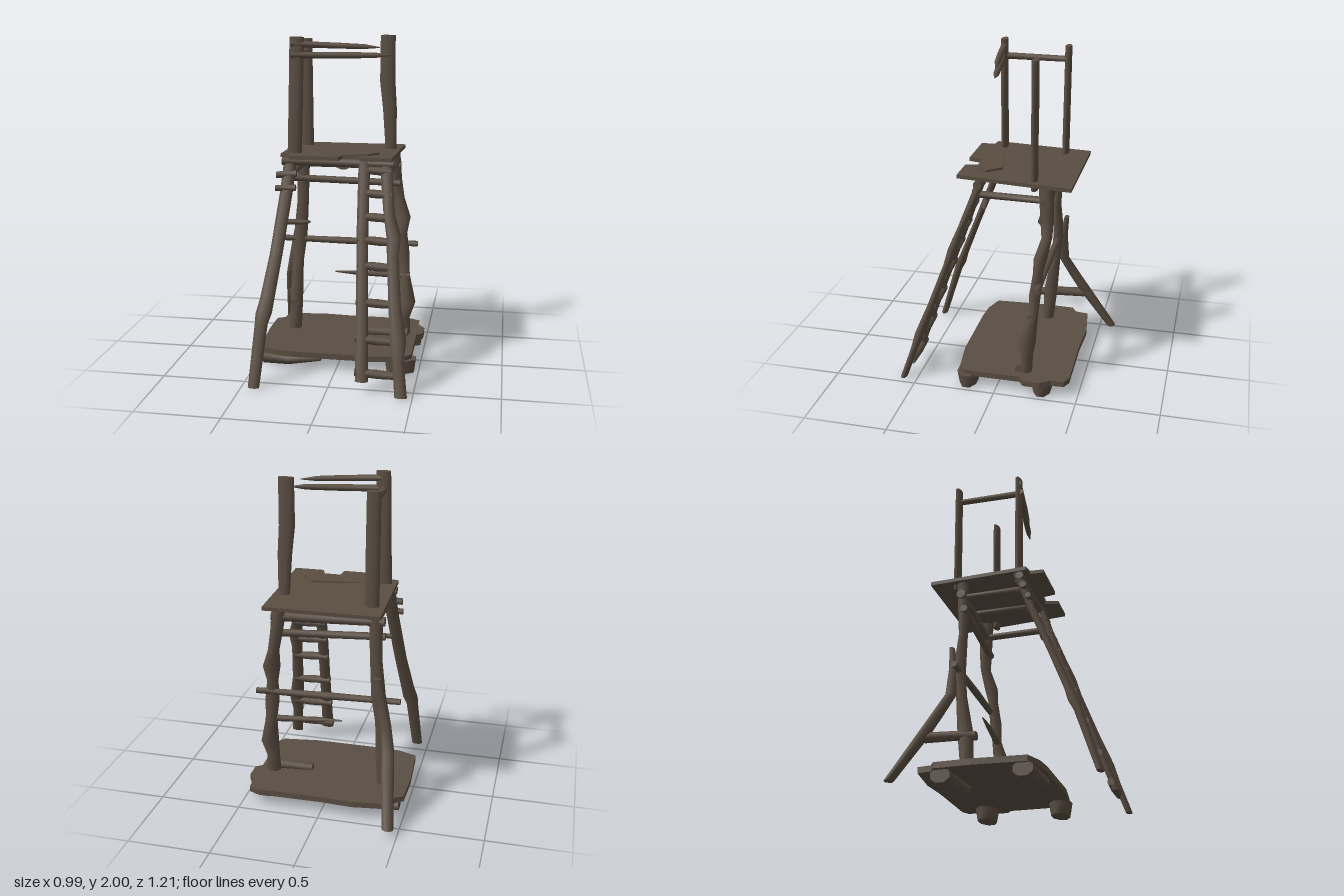
import * as THREE from 'three';

const wood = new THREE.MeshStandardMaterial({ color: 0x5a4e42 });
wood.name = 'weatheredWood';

// Rough log swept through rings [x, y, z, ru, rv]; rings lie square to the given axis.
// Radii: axis x -> (y, z), axis y -> (z, x), axis z -> (x, y).
function log(name, axis, rings, sides = 8) {
  const w = 'xyz'.indexOf(axis), u = (w + 1) % 3, v = (w + 2) % 3;
  const path = rings[0][w] > rings[rings.length - 1][w] ? [...rings].reverse() : rings;
  const pos = [], index = [];
  const addRing = (r) => {
    for (let j = 0; j < sides; j++) {
      const a = ((j + 0.5) / sides) * Math.PI * 2, p = [r[0], r[1], r[2]];
      p[u] += Math.cos(a) * r[3];
      p[v] += Math.sin(a) * (r[4] ?? r[3]);
      pos.push(...p);
    }
  };
  path.forEach(addRing);
  for (let k = 0; k < path.length - 1; k++) {
    for (let j = 0; j < sides; j++) {
      const a = k * sides + j, b = k * sides + ((j + 1) % sides);
      index.push(a, b, b + sides, a, b + sides, a + sides);
    }
  }
  // Flat sawn ends
  [path[0], path[path.length - 1]].forEach((r, end) => {
    const s = pos.length / 3;
    addRing(r);
    for (let j = 1; j < sides - 1; j++) {
      if (end) index.push(s, s + j, s + j + 1);
      else index.push(s, s + j + 1, s + j);
    }
  });
  const g = new THREE.BufferGeometry();
  g.setAttribute('position', new THREE.Float32BufferAttribute(pos, 3));
  g.setIndex(index);
  g.computeVertexNormals();
  const m = new THREE.Mesh(g, wood);
  m.name = name;
  return m;
}

// Flat board from an (x, z) outline, hanging down from y = top
function board(name, outline, top, thick) {
  const shape = new THREE.Shape(outline.map(([x, z]) => new THREE.Vector2(x, z)));
  const g = new THREE.ExtrudeGeometry(shape, { depth: thick, bevelEnabled: false });
  g.rotateX(Math.PI / 2);
  const m = new THREE.Mesh(g, wood);
  m.name = name;
  m.position.y = top;
  return m;
}

export function createModel() {
  const tower = new THREE.Group();
  tower.name = 'watchtower';
  const add = (...a) => tower.add(...a);

  // Ground platform and its stubby feet
  add(board('basePlatform', [
    [-0.49, -0.31], [-0.44, -0.34], [-0.43, -0.42], [-0.2, -0.45], [0, -0.44], [0.4, -0.445], [0.45, -0.42],
    [0.455, -0.34], [0.495, -0.28], [0.495, -0.18], [0.455, -0.15], [0.455, 0.19], [0.42, 0.23],
    [0.2, 0.26], [-0.25, 0.26], [-0.36, 0.25], [-0.475, 0.21], [-0.495, -0.1],
  ], 0.115, 0.035));
  for (const z of [0.18, -0.28]) {
    add(log('rightFoot', 'x', [[-0.46, 0.05, z, 0.045, 0.06], [-0.3, 0.05, z, 0.045, 0.07],
      [-0.1, 0.07, z, 0.03, 0.06]]));
    add(log('leftFoot', 'y', [[0.39, 0.005, z, 0.055, 0.09], [0.39, 0.09, z, 0.07, 0.1]]));
  }

  // Upper deck with a notch at the ladder, plus a loose front plank
  const deck = board('deck', [
    [-0.35, -0.42], [0.34, -0.42], [0.33, 0.25], [0.15, 0.25], [0.12, 0.17], [0.03, 0.17],
    [0.02, 0.26], [-0.27, 0.26], [-0.28, 0.18], [-0.34, 0.17],
  ], 1.315, 0.022);
  deck.rotation.x = -0.04;
  add(deck);
  const plank = board('loosePlank', [[-0.27, 0.1], [0.16, 0.02], [0.24, 0.1], [0.18, 0.17], [-0.26, 0.2]], 1.325, 0.012);
  plank.rotation.z = 0.03;
  add(plank);

  // Railing posts
  add(log('frontRightPost', 'y', [[-0.27, 1.25, 0.11, 0.022, 0.045], [-0.26, 1.6, 0.108, 0.021, 0.045],
    [-0.25, 2, 0.105, 0.02, 0.045]]));
  add(log('backRightPost', 'y', [[-0.27, 1.25, -0.275, 0.021, 0.045], [-0.275, 1.97, -0.28, 0.02, 0.042]]));
  add(log('leftPost', 'y', [[0.275, 1.25, -0.195, 0.02, 0.033], [0.265, 1.55, -0.192, 0.02, 0.045],
    [0.25, 1.72, -0.19, 0.02, 0.05], [0.25, 2, -0.19, 0.02, 0.048]]));

  // Railings: two broken front rails and one side rail
  add(log('upperFrontRail', 'x', [[-0.28, 1.96, 0.11, 0.02], [0.0, 1.95, 0.075, 0.018],
    [0.14, 1.945, 0.055, 0.015], [0.23, 1.94, 0.04, 0.003]]));
  add(log('lowerFrontRail', 'x', [[-0.28, 1.895, 0.12, 0.02], [0.0, 1.895, 0.075, 0.02],
    [0.2, 1.895, 0.045, 0.017], [0.29, 1.895, 0.03, 0.003]]));
  add(log('sideRail', 'z', [[-0.255, 1.895, 0.13, 0.02], [-0.27, 1.89, -0.29, 0.018]]));

  // Slanted front leg
  add(log('frontRightLeg', 'y', [
    [-0.29, 1.3, 0.11, 0.03, 0.04], [-0.305, 1.1, 0.18, 0.025, 0.04], [-0.34, 0.75, 0.32, 0.022, 0.04],
    [-0.375, 0.5, 0.42, 0.025, 0.045], [-0.39, 0.42, 0.45, 0.032, 0.05], [-0.4, 0.36, 0.475, 0.025, 0.04],
    [-0.425, 0.01, 0.585, 0.02, 0.035],
  ]));

  // Ladder rails and rungs
  add(log('ladderInnerRail', 'y', [[0.155, 1.29, 0.13, 0.026, 0.036], [0.165, 0.9, 0.265, 0.022, 0.036],
    [0.185, 0.5, 0.41, 0.022, 0.036], [0.205, 0.08, 0.555, 0.022, 0.04]]));
  add(log('ladderOuterRail', 'y', [[0.28, 1.3, 0.11, 0.028, 0.04], [0.315, 1, 0.23, 0.022, 0.034],
    [0.35, 0.87, 0.275, 0.03, 0.045], [0.35, 0.76, 0.315, 0.022, 0.036], [0.375, 0.5, 0.41, 0.024, 0.038],
    [0.405, 0.31, 0.48, 0.032, 0.05], [0.41, 0.2, 0.52, 0.022, 0.035], [0.435, 0.01, 0.585, 0.02, 0.038]]));
  for (const y of [1.23, 1.1, 0.97, 0.84, 0.7, 0.5, 0.3, 0.12]) {
    const z = 0.575 - y * 0.35, t = (1.3 - y) / 1.3;
    add(log('ladderRung', 'x', [[0.125 + t * 0.04, y + 0.005, z, 0.022], [0.24 + t * 0.06, y, z, 0.026],
      [0.31 + t * 0.13, y - 0.005, z, 0.02]]));
  }

  // Gnarled back legs
  add(log('backLeftLeg', 'y', [
    [0.28, 1.29, -0.265, 0.045, 0.045], [0.3, 1.1, -0.275, 0.04, 0.038], [0.32, 0.98, -0.28, 0.032, 0.035],
    [0.345, 0.86, -0.25, 0.04, 0.055], [0.345, 0.76, -0.235, 0.03, 0.035], [0.355, 0.62, -0.22, 0.035, 0.045],
    [0.365, 0.5, -0.215, 0.028, 0.036], [0.39, 0.32, -0.18, 0.055, 0.055], [0.37, 0.22, -0.18, 0.035, 0.04],
    [0.37, 0.1, -0.17, 0.04, 0.045],
  ]));
  add(log('backRightLeg', 'y', [
    [-0.285, 1.29, -0.235, 0.035, 0.042], [-0.29, 0.95, -0.225, 0.025, 0.038], [-0.31, 0.72, -0.235, 0.035, 0.045],
    [-0.325, 0.55, -0.215, 0.03, 0.038], [-0.33, 0.32, -0.185, 0.045, 0.042], [-0.335, 0.1, -0.17, 0.035, 0.04],
  ]));
  add(log('legBranch', 'y', [[-0.31, 0.86, -0.285, 0.015, 0.025], [-0.33, 0.72, -0.265, 0.025, 0.035],
    [-0.36, 0.55, -0.265, 0.032, 0.036], [-0.39, 0.42, -0.335, 0.035, 0.04],
    [-0.405, 0.3, -0.41, 0.038, 0.04], [-0.445, 0.045, -0.58, 0.028, 0.035]]));
  add(log('branchStrut', 'z', [[-0.33, 0.3, -0.12, 0.03, 0.025], [-0.36, 0.3, -0.25, 0.028], [-0.4, 0.29, -0.4, 0.03]]));
  add(log('fallenLog', 'x', [[0.13, 0.13, -0.12, 0.025], [0.4, 0.13, -0.14, 0.03]]));

  // Cross rails between the back legs
  add(log('middleRail', 'x', [[-0.44, 0.7, -0.225, 0.018], [0, 0.695, -0.235, 0.022], [0.445, 0.69, -0.25, 0.018]]));
  add(log('brokenRail', 'x', [[-0.07, 0.505, -0.17, 0.004], [0.08, 0.5, -0.18, 0.015], [0.4, 0.49, -0.21, 0.022]]));
  add(log('upperBackRail', 'x', [[-0.34, 1.2, -0.23, 0.028], [0.33, 1.19, -0.27, 0.028]]));
  add(log('lowerBackRail', 'x', [[-0.34, 1.1, -0.21, 0.022], [0.33, 1.08, -0.25, 0.022]]));

  // Side beams below the deck
  for (const s of [-1, 1]) {
    add(log('sideBeam', 'z', [[s * 0.285, 1.2, 0.16, 0.025, 0.02], [s * 0.285, 1.195, -0.26, 0.025, 0.02]]));
  }
  add(log('deckJoist', 'z', [[0.02, 1.235, 0.08, 0.035, 0.018], [0.02, 1.23, -0.24, 0.035, 0.025]]));
  add(log('frontBeam', 'x', [[-0.34, 1.27, 0.13, 0.025], [0.33, 1.27, 0.13, 0.025]]));

  // Broken stubs on the front leg
  add(log('upperStub', 'x', [[-0.37, 1.19, 0.16, 0.02], [-0.25, 1.2, 0.15, 0.022]]));
  add(log('middleStub', 'x', [[-0.37, 1.115, 0.19, 0.018], [-0.25, 1.12, 0.18, 0.02]]));
  add(log('lowerStub', 'x', [[-0.34, 0.925, 0.25, 0.016], [-0.2, 0.925, 0.23, 0.015], [-0.155, 0.925, 0.22, 0.008]]));

  return tower;
}
